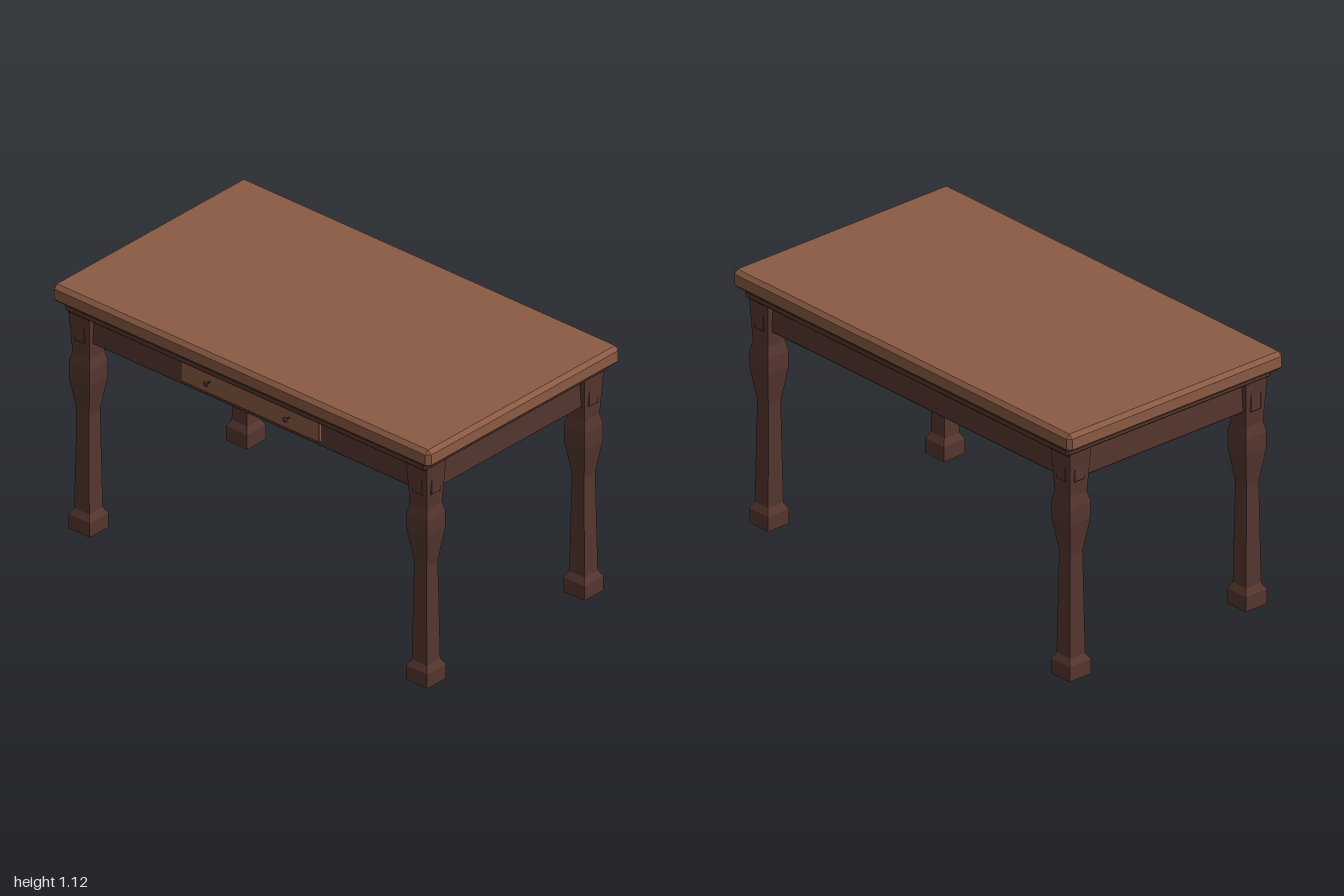
import * as THREE from 'three';

const material = (name, color) => Object.assign(new THREE.MeshStandardMaterial({ color }), { name });

// Skin a stack of rectangular rings [y, halfX, halfZ, cornerChamfer] into a closed, hard-edged solid.
function loft(levels) {
  const rings = levels.map(([y, hx, hz, c = 0]) => [
    [hx, hz - c], [hx - c, hz], [-hx + c, hz], [-hx, hz - c],
    [-hx, -hz + c], [-hx + c, -hz], [hx - c, -hz], [hx, -hz + c],
  ].map(([x, z]) => new THREE.Vector3(x, y, z)));
  const pos = [];
  const tri = (a, b, c) => {
    const area = b.clone().sub(a).cross(c.clone().sub(a)).length();
    if (area > 1e-9) pos.push(...a, ...b, ...c);
  };
  for (let k = 0; k < rings.length - 1; k++) {
    const lo = rings[k], hi = rings[k + 1];
    for (let i = 0; i < 8; i++) {
      const j = (i + 1) % 8;
      tri(lo[i], hi[i], hi[j]);
      tri(lo[i], hi[j], lo[j]);
    }
  }
  const first = rings[0], last = rings[rings.length - 1];
  for (let i = 1; i < 7; i++) {
    tri(first[0], first[i], first[i + 1]);
    tri(last[0], last[i + 1], last[i]);
  }
  const g = new THREE.BufferGeometry();
  g.setAttribute('position', new THREE.Float32BufferAttribute(pos, 3));
  g.computeVertexNormals();
  return g;
}

// Box with every edge bevelled, between heights y0 and y1.
const slab = (hx, hz, y0, y1, b) => loft([
  [y0, hx - b, hz - b], [y0 + b, hx, hz, b], [y1 - b, hx, hz, b], [y1, hx - b, hz - b],
]);

export function createModel() {
  const table = new THREE.Group();
  table.name = 'table';
  const lightWood = material('lightWood', 0x8a5a43);
  const darkWood = material('darkWood', 0x55362e);
  const knobMetal = material('knobDark', 0x3a2a25);

  const add = (name, geometry, mat, x = 0, y = 0, z = 0, parent = table) => {
    const mesh = new THREE.Mesh(geometry, mat);
    mesh.name = name;
    mesh.position.set(x, y, z);
    parent.add(mesh);
    return mesh;
  };

  // Top board and the stepped moulding under it
  add('tableTop', slab(1, 0.57, 1.034, 1.115, 0.017), lightWood);
  add('mouldingNeck', slab(0.943, 0.525, 1.02, 1.04, 0.003), darkWood);
  add('moulding', slab(0.955, 0.541, 0.997, 1.03, 0.007), darkWood);

  // Apron boards between the legs
  for (const s of [-1, 1]) {
    add(s > 0 ? 'frontApron' : 'backApron', slab(0.88, 0.02, 0.866, 1.005, 0.005), darkWood, 0, 0, s * 0.475);
    add(s > 0 ? 'leftApron' : 'rightApron', slab(0.02, 0.45, 0.866, 1.005, 0.005), darkWood, s * 0.905, 0, 0);
  }

  // Drawer front with two knobs
  add('drawerFront', slab(0.367, 0.015, 0.89, 0.997, 0.003), lightWood, 0, 0, 0.495);
  for (const s of [-1, 1]) {
    const stem = new THREE.CylinderGeometry(0.003, 0.003, 0.03, 8).rotateX(Math.PI / 2);
    add('knobStem', stem, knobMetal, s * 0.21, 0.947, 0.52);
    add('knob', new THREE.SphereGeometry(0.012, 12, 8).scale(1, 1, 0.6), knobMetal, s * 0.21, 0.947, 0.536);
  }

  // Square shaped legs: foot block, tapered shaft, bulge, flared head
  const legProfile = [
    [0, 0.056], [0.065, 0.056], [0.092, 0.04], [0.54, 0.033],
    [0.69, 0.055], [0.76, 0.055], [0.805, 0.045], [1.005, 0.057],
  ];
  const legShape = loft(legProfile.map(([y, h]) => [y, h, h]));
  for (const sx of [-1, 1]) for (const sz of [-1, 1]) {
    const leg = new THREE.Group();
    leg.name = `${sz > 0 ? 'front' : 'back'}${sx > 0 ? 'Left' : 'Right'}Leg`;
    leg.position.set(sx * 0.894, 0, sz * 0.466);
    table.add(leg);
    add('legPost', legShape, darkWood, 0, 0, 0, leg);
    // Raised tabs that fade into the flare
    add('legTabSides', slab(0.0535, 0.028, 0.868, 0.95, 0.003), darkWood, 0, 0, 0, leg);
    add('legTabFaces', slab(0.028, 0.0535, 0.868, 0.95, 0.003), darkWood, 0, 0, 0, leg);
  }
  return table;
}
